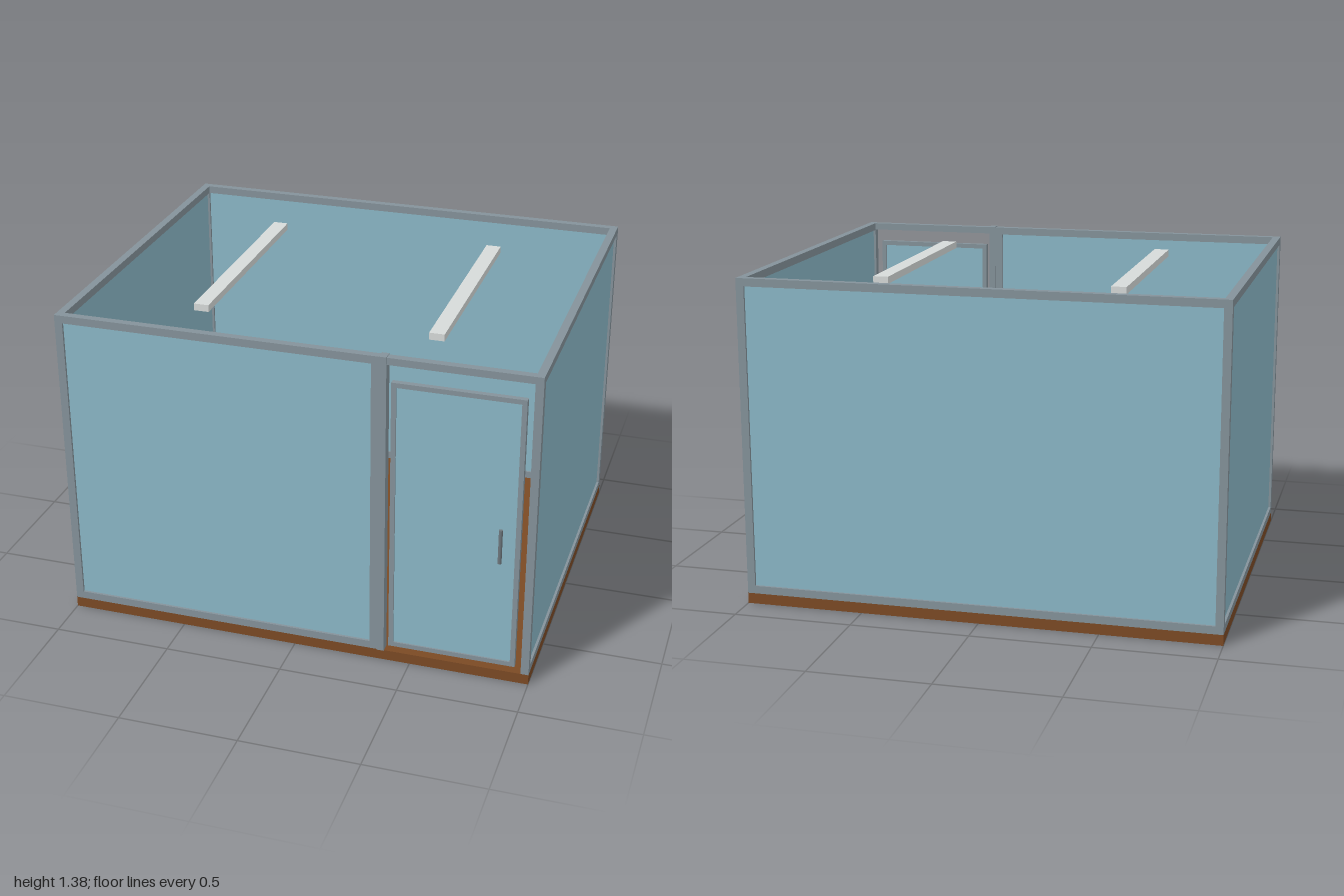
import * as THREE from 'three';

const mat = (name, color) => {
  const m = new THREE.MeshStandardMaterial({ color });
  m.name = name;
  return m;
};

export function createModel() {
  const glass = mat('blueGlass', 0x8ab7c6);
  const metal = mat('greyFrame', 0x84929a);
  const wood = mat('brownWood', 0x7b4a24);
  const lamp = mat('paleLamp', 0xd6dad9);
  const dark = mat('handleGrey', 0x6c757b);

  const model = new THREE.Group();
  model.name = 'glassRoom';

  // Box given by its minimum and maximum corners
  const box = (parent, name, material, x0, x1, y0, y1, z0, z1) => {
    const mesh = new THREE.Mesh(new THREE.BoxGeometry(x1 - x0, y1 - y0, z1 - z0), material);
    mesh.position.set((x0 + x1) / 2, (y0 + y1) / 2, (z0 + z1) / 2);
    mesh.name = name;
    parent.add(mesh);
    return mesh;
  };

  // Framed pane, built around its own centre and facing +z
  const framedPane = (name, width, height, depth, bar, paneDepth) => {
    const group = new THREE.Group();
    group.name = name;
    const w = width / 2, h = height / 2;
    const outline = new THREE.Shape();
    outline.moveTo(-w, -h).lineTo(w, -h).lineTo(w, h).lineTo(-w, h).closePath();
    const hole = new THREE.Path();
    const a = w - bar, b = h - bar;
    hole.moveTo(-a, -b).lineTo(-a, b).lineTo(a, b).lineTo(a, -b).closePath();
    outline.holes.push(hole);
    const geometry = new THREE.ExtrudeGeometry(outline, { depth, bevelEnabled: false });
    geometry.translate(0, 0, -depth / 2);
    const frame = new THREE.Mesh(geometry, metal);
    frame.name = name + 'Frame';
    group.add(frame);
    box(group, name + 'Glass', glass, -a, a, -b, b, -paneDepth / 2, paneDepth / 2);
    model.add(group);
    return group;
  };

  const floorTop = 0.045, top = 1.38, back = -0.86, front = 0.805;
  const wallHeight = top - floorTop, midY = (top + floorTop) / 2;
  const depth = 0.033, bar = 0.033;

  // Wooden base
  box(model, 'floor', wood, -1, 1, 0, floorTop, back, front);

  // Side walls
  for (const side of [-1, 1]) {
    const wall = framedPane(side > 0 ? 'leftWall' : 'rightWall', front - back, wallHeight, depth, bar, 0.012);
    wall.rotation.y = side * Math.PI / 2;
    wall.position.set(side * (1 - depth / 2), midY, (front + back) / 2);
  }

  // Back wall and fixed front pane, fitted between the side walls
  framedPane('backWall', 2, wallHeight, depth, bar, 0.012).position.set(0, midY, back + depth / 2);
  framedPane('frontWall', 1.36, wallHeight, depth, bar, 0.012).position.set(-0.32, midY, front - depth / 2);

  // Door post and lintel
  box(model, 'doorPost', metal, 0.36, 0.39, floorTop, top + 0.003, front - 0.038, front + 0.005);
  box(model, 'doorLintel', metal, 0.39, 1 - depth, top - 0.03, top, front - depth, front);

  // Door hung in front of the opening
  framedPane('door', 0.53, 1.2, 0.024, 0.02, 0.01).position.set(0.68, 0.69, 0.817);

  // Upright door handle
  const handle = new THREE.Mesh(new THREE.CylinderGeometry(0.008, 0.008, 0.15, 16), dark);
  handle.position.set(0.87, 0.655, 0.852);
  handle.name = 'doorHandle';
  model.add(handle);

  // Hanging strip lamps
  for (const x of [-0.5, 0.5]) {
    box(model, 'stripLamp', lamp, x - 0.032, x + 0.032, 1.322, 1.352, -0.53, 0.47);
  }

  return model;
}
